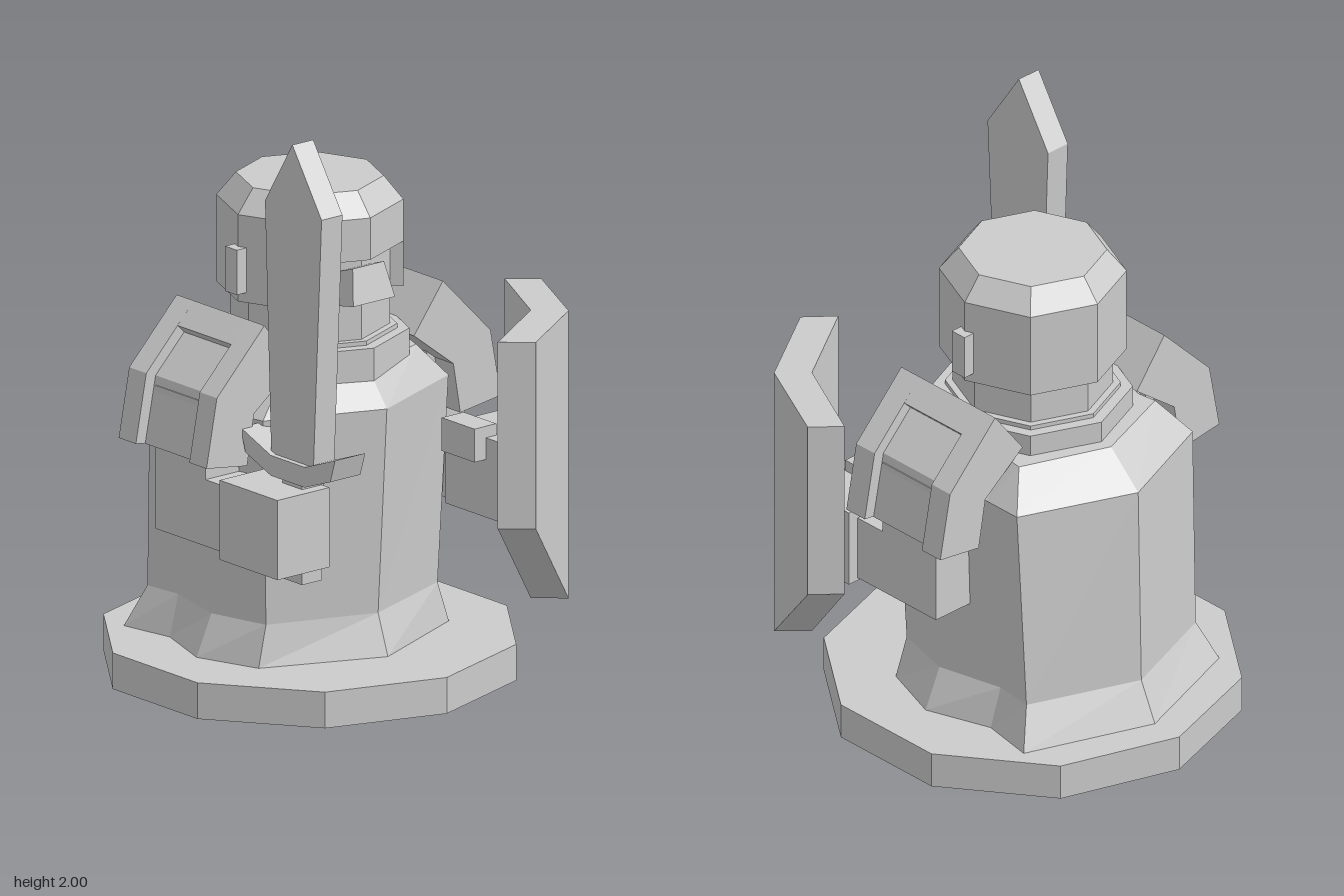
import * as THREE from 'three';

const material = new THREE.MeshStandardMaterial({ color: 0xcccccc, flatShading: true });

export function createModel() {
  const model = new THREE.Group();
  model.name = 'guardFigure';
  model.position.set(-0.065, 0, -0.037);

  function add(name, geometry) {
    const mesh = new THREE.Mesh(geometry, material);
    mesh.name = name;
    model.add(mesh);
    return mesh;
  }
  // Box from its minimum and maximum on each axis
  function box(name, x0, x1, y0, y1, z0, z1) {
    const g = new THREE.BoxGeometry(Math.abs(x1 - x0), y1 - y0, z1 - z0);
    return add(name, g.translate((x0 + x1) / 2, (y0 + y1) / 2, (z0 + z1) / 2));
  }
  // Faceted drum between two heights
  function drum(name, rBottom, rTop, y0, y1, sides = 8) {
    const g = new THREE.CylinderGeometry(rTop, rBottom, y1 - y0, sides);
    return add(name, g.translate(0, (y0 + y1) / 2, 0));
  }
  function extrude(points, depth) {
    const shape = new THREE.Shape(points.map(([x, y]) => new THREE.Vector2(x, y)));
    return new THREE.ExtrudeGeometry(shape, { depth, bevelEnabled: false });
  }
  // Extrusion of a (z, y) outline across x
  function sideExtrude(name, points, x0, x1) {
    const g = extrude(points.map(([z, y]) => [-z, y]), x1 - x0);
    return add(name, g.rotateY(Math.PI / 2).translate(x0, 0, 0));
  }
  // Move each vertex of a geometry by a rule
  function reshape(g, rule) {
    const p = g.attributes.position;
    for (let i = 0; i < p.count; i++) p.setXYZ(i, ...rule(p.getX(i), p.getY(i), p.getZ(i)));
    g.computeVertexNormals();
    return g;
  }
  // Skin over mirrored half rings, closed at the top
  function loft(levels) {
    const rings = levels.map(({ y, half }) => [
      ...half.map(([x, z]) => [x, y, z]),
      ...half.slice(1, -1).reverse().map(([x, z]) => [-x, y, z]),
    ]);
    const n = rings[0].length;
    const index = [];
    for (let r = 0; r < rings.length - 1; r++) {
      for (let i = 0; i < n; i++) {
        const a = r * n + i, b = r * n + (i + 1) % n;
        index.push(a, b, b + n, a, b + n, a + n);
      }
    }
    const top = (rings.length - 1) * n;
    for (let i = 1; i < n - 1; i++) index.push(top, top + i, top + i + 1);
    const g = new THREE.BufferGeometry();
    g.setAttribute('position', new THREE.Float32BufferAttribute(rings.flat(2), 3));
    g.setIndex(index);
    const flat = g.toNonIndexed();
    flat.computeVertexNormals();
    return flat;
  }

  // Base and robe: half rings run from front to back
  drum('base', 0.702, 0.702, 0, 0.125, 10);
  add('robe', loft([
    { y: 0.125, half: [[0, 0.4], [0.41, 0.225], [0.488, 0], [0.41, -0.23], [0.445, -0.425], [0, -0.585]] },
    { y: 0.265, half: [[0, 0.35], [0.37, 0.215], [0.425, 0], [0.37, -0.235], [0.385, -0.375], [0, -0.52]] },
    { y: 0.98, half: [[0, 0.395], [0.4, 0.235], [0.45, 0], [0.4, -0.2], [0.4, -0.345], [0, -0.505]] },
    { y: 1.1, half: [[0, 0.3], [0.29, 0.2], [0.36, 0], [0.3, -0.19], [0.31, -0.26], [0, -0.375]] },
  ]));
  drum('collar', 0.33, 0.33, 1.05, 1.175);
  drum('neck', 0.29, 0.29, 1.1, 1.19);

  // Head and helmet
  drum('head', 0.265, 0.265, 1.18, 1.5);
  drum('helmetBand', 0.31, 0.31, 1.475, 1.62);
  drum('helmetCrown', 0.31, 0.245, 1.62, 1.7);
  const arc = (r) => [1, 2, 3, 4, 5, 6, 7].map((i) => {
    const a = (i * Math.PI) / 4;
    return [r * Math.sin(a), -r * Math.cos(a)];
  });
  add('helmetGuard', extrude([...arc(0.31), ...arc(0.264).reverse()], 0.155)
    .rotateX(-Math.PI / 2).translate(0, 1.32, 0));
  add('nose', reshape(new THREE.BoxGeometry(1, 1, 1), (x, y, z) => [
    x * (y > 0 ? 0.135 : 0.18),
    y > 0 ? (z > 0 ? 1.455 : 1.42) : (z > 0 ? 1.335 : 1.31),
    z > 0 ? (y > 0 ? 0.3 : 0.33) : 0.2,
  ]));

  // Ears, shoulders and arms on both sides
  const rim = [[0.26, 1.14], [0.385, 1.305], [0.59, 1.095], [0.635, 0.86], [0.46, 0.835], [0.43, 1.01]];
  const channel = [[0.26, 1.14], [0.385, 1.305], [0.455, 1.233], [0.427, 1.205],
    [0.55, 1.08], [0.595, 0.853], [0.46, 0.835], [0.43, 1.01]];
  for (const [side, s] of [['left', 1], ['right', -1]]) {
    const mirror = (points) => points.map(([x, y]) => [s * x, y]);
    box(side + 'EarPlate', s * 0.27, s * 0.34, 1.355, 1.51, -0.03, 0.03);
    add(side + 'ShoulderBackRim', extrude(mirror(rim), 0.088).translate(0, 0, -0.225));
    add(side + 'ShoulderPlate', extrude(mirror(channel), 0.274).translate(0, 0, -0.137));
    add(side + 'ShoulderFrontRim', extrude(mirror(rim), 0.088).translate(0, 0, 0.137));
    box(side + 'UpperArm', s * 0.395, s * 0.56, 0.555, 1.05, -0.125, 0.13);
    box(side + 'Forearm', s * 0.395, s * 0.56, 0.555, 0.785, 0.1, 0.26);
    box(side + 'Hand', s * 0.375, s * 0.6, 0.545, 0.82, 0.25, 0.547);
    box(side + 'Thumb', s * 0.325, s * 0.42, 0.745, 0.86, 0.29, 0.457);
  }

  // Sword
  sideExtrude('swordBlade', [[0.457, 2], [0.317, 1.775], [0.35, 0.88], [0.564, 0.88], [0.607, 1.775]], -0.46, -0.37);
  sideExtrude('swordGuard', [[0.215, 0.97], [0.37, 0.91], [0.544, 0.91], [0.7, 0.97],
    [0.675, 0.89], [0.544, 0.84], [0.37, 0.84], [0.24, 0.89]], -0.48, -0.35);
  box('swordGrip', -0.46, -0.375, 0.49, 0.9, 0.407, 0.507);

  // Shield: a box with a central ridge, bent back and pointed at the bottom
  const outer = [[0.325, 0.772], [0.635, 0.572], [0.795, 0.242]];
  const inner = [[0.23, 0.69], [0.543, 0.487], [0.703, 0.162]];
  add('shield', reshape(new THREE.BoxGeometry(1, 1, 1, 2, 1, 1), (x, y, z) => {
    const column = Math.round(x * 2) + 1;
    const [px, pz] = (z > 0 ? outer : inner)[column];
    return [px, y > 0 ? 1.235 : column === 1 ? 0.24 : 0.59, pz];
  }));

  const root = new THREE.Group();
  root.add(model);
  return root;
}
